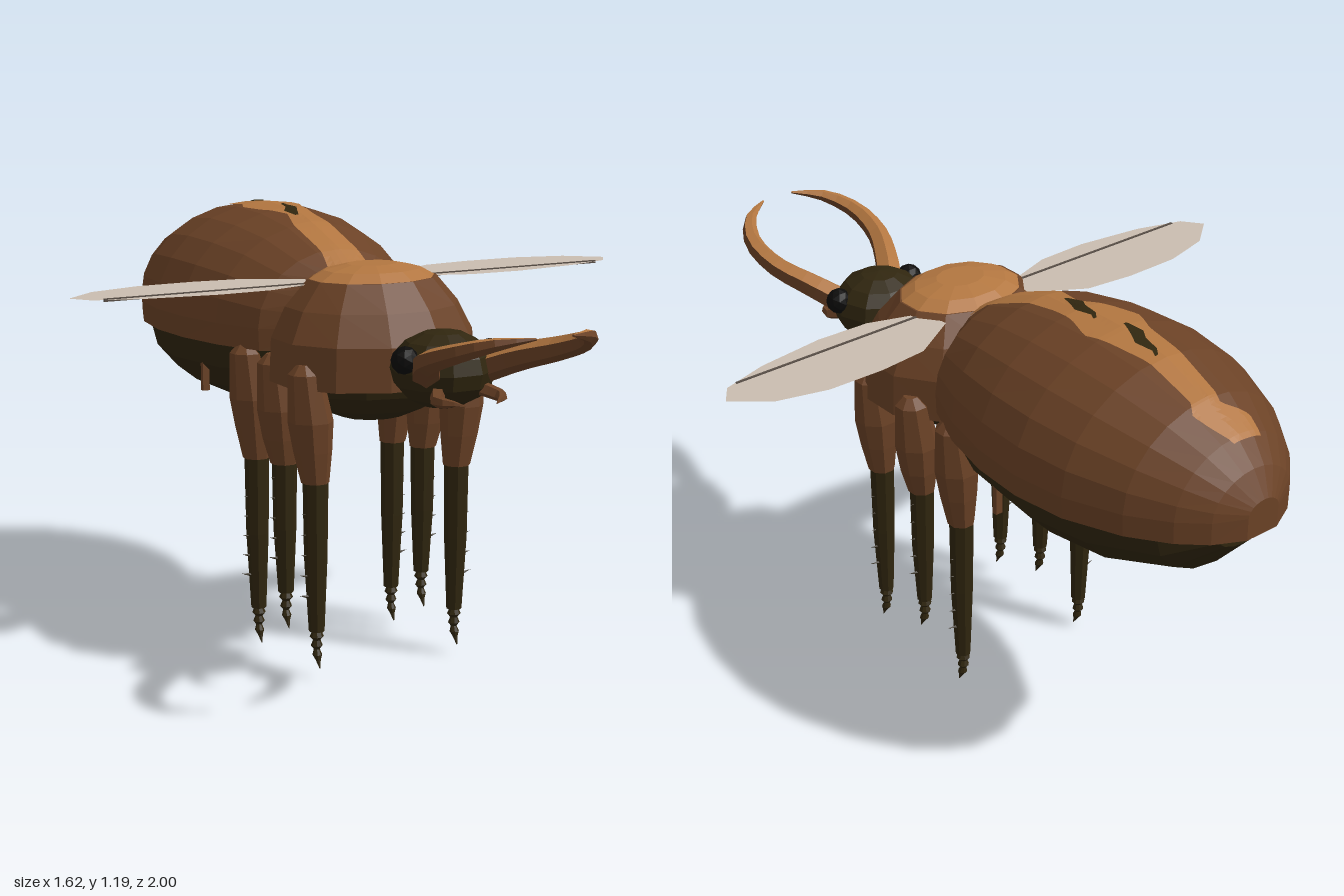
import * as THREE from 'three';

const mat = (name, color, side = THREE.FrontSide) =>
  Object.assign(new THREE.MeshStandardMaterial({ color, side }), { name });

// Faceted skin through a list of closed rings, capped at both ends
function loft(rings) {
  const n = rings[0].length, pos = [], idx = [];
  rings.forEach(r => r.forEach(p => pos.push(p.x, p.y, p.z)));
  for (let j = 0; j < rings.length - 1; j++) for (let i = 0; i < n; i++) {
    const a = j * n + i, b = j * n + (i + 1) % n;
    idx.push(a, b, b + n, a, b + n, a + n);
  }
  [0, rings.length - 1].forEach((j, end) => {
    const c = rings[j].reduce((s, p) => s.add(p), new THREE.Vector3()).divideScalar(n);
    const k = pos.length / 3;
    pos.push(c.x, c.y, c.z);
    for (let i = 0; i < n; i++) {
      const a = j * n + i, b = j * n + (i + 1) % n;
      idx.push(...(end ? [a, b, k] : [b, a, k]));
    }
  });
  // Turn the faces outward when the signed volume is negative
  const P = i => new THREE.Vector3(pos[i * 3], pos[i * 3 + 1], pos[i * 3 + 2]);
  let vol = 0;
  for (let i = 0; i < idx.length; i += 3) vol += P(idx[i]).dot(P(idx[i + 1]).cross(P(idx[i + 2])));
  if (vol < 0) idx.reverse();
  const g = new THREE.BufferGeometry();
  g.setAttribute('position', new THREE.Float32BufferAttribute(pos, 3));
  g.setIndex(idx);
  return flat(g);
}

function flat(g) {
  const f = g.index ? g.toNonIndexed() : g;
  f.computeVertexNormals();
  return f;
}

// Horizontal oval ring
const oval = (x, y, z, rx, rz, n) => Array.from({ length: n }, (_, i) => {
  const t = (i + 0.5) / n * Math.PI * 2;
  return new THREE.Vector3(x + rx * Math.cos(t), y, z + rz * Math.sin(t));
});

// Tapered tube along a smooth path
function horn(points, radii, n, steps) {
  const curve = new THREE.CatmullRomCurve3(points.map(p => new THREE.Vector3(...p)));
  const fr = curve.computeFrenetFrames(steps, false), rings = [];
  for (let j = 0; j <= steps; j++) {
    const s = j / steps * (radii.length - 1), k = Math.min(Math.floor(s), radii.length - 2);
    const r = THREE.MathUtils.lerp(radii[k], radii[k + 1], s - k), c = curve.getPointAt(j / steps);
    rings.push(Array.from({ length: n }, (_, i) => {
      const t = i / n * Math.PI * 2;
      return c.clone().addScaledVector(fr.normals[j], r * Math.cos(t)).addScaledVector(fr.binormals[j], r * Math.sin(t));
    }));
  }
  return loft(rings);
}

// Second material for faces that point upward
function groupTopFaces(g, limit) {
  const nor = g.attributes.normal;
  for (let i = 0; i < nor.count; i += 3) g.addGroup(i, 3, nor.getY(i) > limit ? 1 : 0);
  return g;
}

export function createModel() {
  const brown = mat('shell brown', 0x6b4226);
  const tan = mat('light tan', 0xb27640);
  const dark = mat('dark olive', 0x30260f);
  const black = mat('eye black', 0x0c0b0a);
  const pale = mat('wing membrane', 0xcabdb0, THREE.DoubleSide);
  const vein = mat('wing vein', 0x5a5048);
  const root = new THREE.Group();
  root.name = 'beetle';
  const add = (name, geo, m, parent = root) => {
    const mesh = new THREE.Mesh(geo, m);
    mesh.name = name;
    parent.add(mesh);
    return mesh;
  };

  // Abdomen shell: domed sections [z, half width, top]
  const shell = add('abdomenShell', loft([
    [0.02, 0.13, 1.05], [-0.06, 0.24, 1.1], [-0.2, 0.3, 1.155], [-0.35, 0.335, 1.18], [-0.5, 0.345, 1.185],
    [-0.65, 0.325, 1.168], [-0.8, 0.265, 1.12], [-0.9, 0.195, 1.06], [-0.96, 0.13, 1.0], [-1, 0.05, 0.935],
  ].map(([z, w, top]) => {
    const ring = Array.from({ length: 13 }, (_, i) => {
      const t = i / 12 * Math.PI;
      return new THREE.Vector3(w * Math.cos(t), 0.9 + (top - 0.9) * Math.sin(t), z);
    });
    return [...ring, new THREE.Vector3(-w * 0.99, 0.84, z), new THREE.Vector3(w * 0.99, 0.84, z)];
  })), brown);

  // Abdomen belly: sections [z, half width, bottom]
  add('abdomenBelly', loft([
    [0, 0.14, 0.72], [-0.1, 0.23, 0.675], [-0.25, 0.29, 0.638], [-0.5, 0.318, 0.62],
    [-0.68, 0.29, 0.632], [-0.86, 0.21, 0.69], [-0.95, 0.1, 0.79],
  ].map(([z, w, low]) => Array.from({ length: 9 }, (_, i) => {
    const t = i / 8 * Math.PI;
    return new THREE.Vector3(w * Math.cos(t), 0.845 - (0.845 - low) * Math.sin(t), z);
  }))), dark);

  // Markings laid on the shell: rows [z, left edge, right edge]
  const ray = new THREE.Raycaster(), down = new THREE.Vector3(0, -1, 0);
  const marking = (name, rows, m, lift) => {
    const g = new THREE.PlaneGeometry(1, 1, 6, 48), p = g.attributes.position;
    for (let i = 0; i < p.count; i++) {
      const u = p.getX(i) + 0.5, s = (p.getY(i) + 0.5) * (rows.length - 1);
      const k = Math.min(Math.floor(s), rows.length - 2);
      const [z, l, r] = rows[k].map((a, c) => THREE.MathUtils.lerp(a, rows[k + 1][c], s - k));
      const x = THREE.MathUtils.lerp(l, r, u);
      ray.set(new THREE.Vector3(x, 2, z), down);
      const hit = ray.intersectObject(shell)[0];
      p.setXYZ(i, x, (hit ? hit.point.y : 1.05) + lift, z);
    }
    add(name, flat(g), m);
  };
  marking('backStripe', [
    [0.015, -0.06, 0.08], [-0.06, -0.05, 0.06], [-0.2, -0.06, 0.05], [-0.3, -0.03, 0.05], [-0.38, -0.07, 0.06],
    [-0.46, -0.09, 0.09], [-0.53, -0.06, 0.07], [-0.64, -0.05, 0.05], [-0.79, -0.03, 0.05], [-0.82, -0.02, 0.07],
    [-0.86, -0.08, 0.05], [-0.91, -0.07, 0.02],
  ], tan, 0.004);
  for (const z of [-0.27, -0.49])
    marking('backSpot', [[z, -0.02, -0.01], [z - 0.05, -0.03, 0.01], [z - 0.08, -0.01, 0.025], [z - 0.13, 0, 0.015], [z - 0.15, 0.015, 0.025]], dark, 0.007);

  // Thorax: dome, pale top plate and dark underside
  add('thoraxShell', loft([
    [0.785, 0.14, 0.285, 0.24], [0.9, 0.14, 0.28, 0.238], [0.98, 0.135, 0.24, 0.2], [1.05, 0.135, 0.18, 0.14],
  ].map(([y, z, rx, rz]) => oval(0, y, z, rx, rz, 12))), brown);
  add('thoraxPlate', loft([
    [1.045, 0.184, 0.144], [1.072, 0.135, 0.105], [1.086, 0.07, 0.055],
  ].map(([y, rx, rz]) => oval(0, y, 0.135, rx, rz, 12))), tan);
  const under = new THREE.SphereGeometry(1, 12, 8).scale(0.23, 0.14, 0.2).translate(0, 0.81, 0.14);
  add('thoraxUnderside', flat(under), dark);

  // Head
  add('head', flat(new THREE.SphereGeometry(1, 10, 8).scale(0.135, 0.1, 0.13).translate(0, 0.865, 0.5)), dark);

  for (const s of [1, -1]) {
    const side = s > 0 ? 'left' : 'right';

    // Eye, mandible and mouthpart
    add(side + 'Eye', flat(new THREE.IcosahedronGeometry(0.036, 1).translate(s * 0.123, 0.9, 0.525)), black);
    add(side + 'Mandible', groupTopFaces(horn([
      [s * 0.075, 0.865, 0.55], [s * 0.13, 0.905, 0.64], [s * 0.178, 0.94, 0.75], [s * 0.18, 0.975, 0.86],
      [s * 0.13, 1.005, 0.945], [s * 0.05, 1.02, 0.997],
    ], [0.04, 0.036, 0.031, 0.026, 0.019, 0.003], 6, 12), 0.5), [brown, tan]);
    add(side + 'Mouthpart', horn([
      [s * 0.06, 0.825, 0.58], [s * 0.09, 0.81, 0.63], [s * 0.075, 0.812, 0.66], [s * 0.045, 0.805, 0.685],
    ], [0.02, 0.016, 0.002], 5, 5), brown);

    // Flat wing with a thin vein
    const outline = [[0.14, 0.02], [0.28, -0.065], [0.42, -0.08], [0.58, -0.077], [0.72, -0.04], [0.81, 0.035],
      [0.77, 0.09], [0.64, 0.13], [0.45, 0.155], [0.3, 0.15], [0.15, 0.1]];
    const wing = new THREE.Shape(outline.map(([x, z]) => new THREE.Vector2(s * x, -z)));
    add(side + 'Wing', new THREE.ShapeGeometry(wing).rotateX(-Math.PI / 2).translate(0, 1.037, 0), pale);
    add(side + 'WingVein', new THREE.BoxGeometry(0.59, 0.008, 0.006).translate(s * 0.445, 1.036, 0.095), vein);
    add(side + 'BellyRidge', new THREE.BoxGeometry(0.02, 0.09, 0.015).translate(s * 0.268, 0.73, -0.345), brown);

    // Three legs per side: [name, z, knee height, foot tip height]
    for (const [name, z, knee, tip] of [['front', 0.22, 0.535, 0.03], ['middle', 0.04, 0.55, 0.09], ['rear', -0.13, 0.53, 0]]) {
      const leg = new THREE.Group();
      leg.name = `${side}${name[0].toUpperCase()}${name.slice(1)}Leg`;
      root.add(leg);
      const stack = rows => loft(rows.map(([x, y, dz, r]) => oval(s * x, y, z + dz, r, r, 8)));
      add('thigh', stack([
        [0.245, 0.85, 0, 0.02], [0.243, 0.825, 0, 0.045], [0.228, 0.7, 0, 0.06], [0.222, 0.62, 0, 0.051], [0.215, knee, 0, 0.037],
      ]), brown, leg);
      const ankle = tip + 0.1;
      add('shin', stack([
        [0.214, knee + 0.01, 0, 0.034], [0.214, (knee + ankle) / 2, 0, 0.031], [0.212, ankle, 0, 0.021],
      ]), dark, leg);
      add('foot', stack([
        [0.212, ankle, 0, 0.012], [0.212, ankle - 0.015, 0, 0.019], [0.212, ankle - 0.025, 0, 0.01],
        [0.212, ankle - 0.04, 0, 0.016], [0.212, ankle - 0.05, 0, 0.008], [0.212, ankle - 0.065, 0.003, 0.013],
        [0.212, ankle - 0.078, 0.008, 0.007], [0.212, tip, 0.018, 0.001],
      ]), dark, leg);
      // Bristles on the outer edge of the shin
      for (let i = 0; i < 5; i++) {
        const spine = new THREE.ConeGeometry(0.005, 0.03, 4).rotateZ(-s * 1.35);
        add('bristle', flat(spine.translate(s * (0.249 - i * 0.002), ankle + 0.1 + i * 0.055, z)), dark, leg);
      }
    }
  }
  return root;
}
